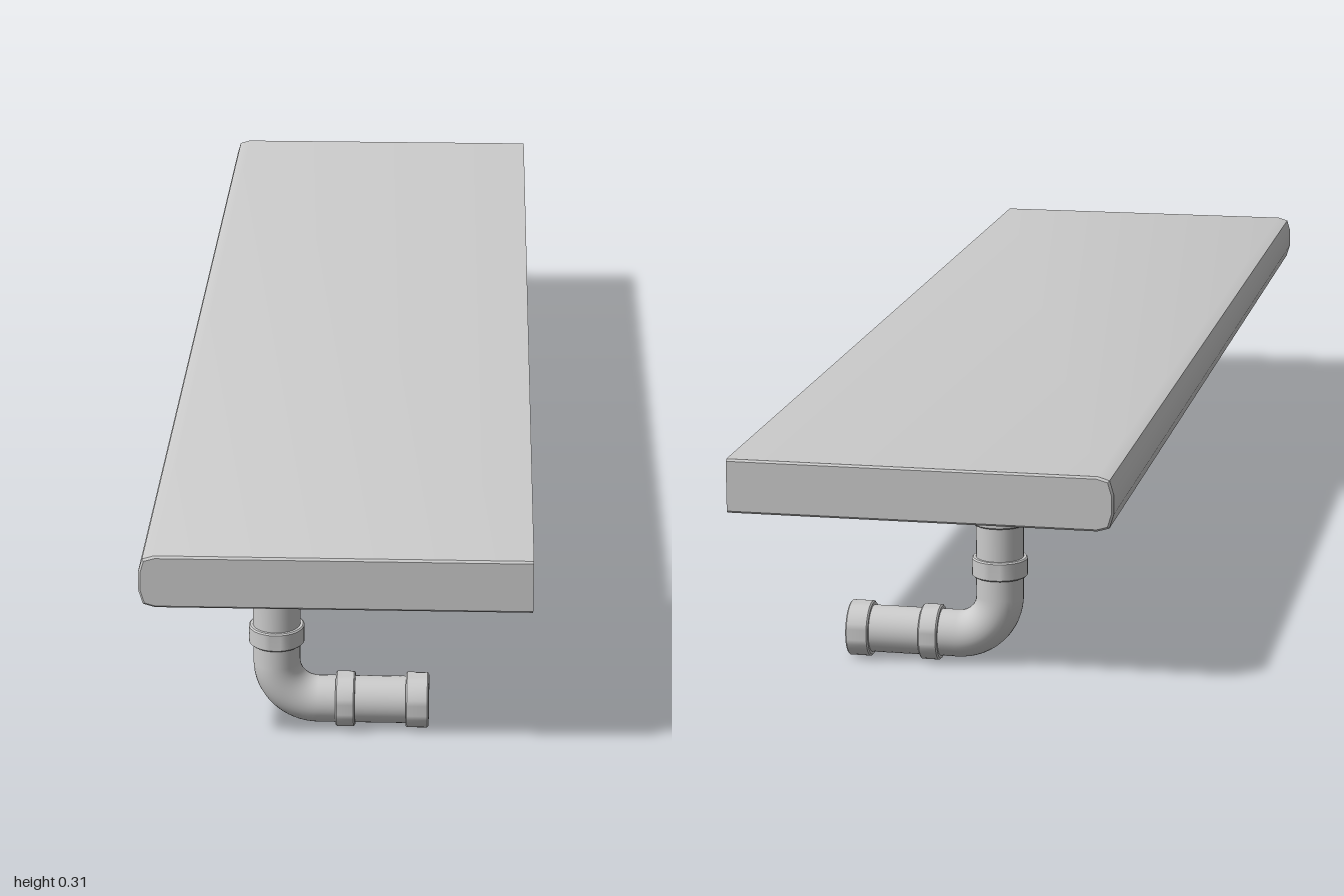
import * as THREE from 'three';
import { toCreasedNormals } from 'three/addons/utils/BufferGeometryUtils.js';

const material = new THREE.MeshStandardMaterial({ color: 0xcccccc, side: THREE.DoubleSide });
const PIPE_R = 0.034, COLLAR_R = 0.04, PIPE_X = -0.09, PIPE_Y = 0.041, BEND_R = 0.06;

function addMesh(parent, name, geometry) {
  const mesh = new THREE.Mesh(geometry, material);
  mesh.name = name;
  parent.add(mesh);
  return mesh;
}

// Hollow slab: rounded long edge at -x, left open along +x
function slabGeometry() {
  const bevel = 0.003, wall = 0.275;
  const profile = [
    [wall, 0.237], [-0.252, 0.237], [-0.269, 0.242], [-0.275, 0.262],
    [-0.275, 0.29], [-0.269, 0.31], [-0.252, 0.315], [wall, 0.315],
  ].map(([x, y]) => new THREE.Vector2(x, y));
  const geometry = new THREE.ExtrudeGeometry(new THREE.Shape(profile), {
    depth: 2 - 2 * bevel, bevelEnabled: true, bevelThickness: bevel,
    bevelSize: bevel, bevelOffset: -bevel, bevelSegments: 1,
  }).translate(0, 0, -1 + bevel);

  // Flatten the +x edge, then drop the faces that would close it
  const source = geometry.getAttribute('position');
  const kept = [];
  for (let i = 0; i < source.count; i += 3) {
    const corners = [0, 1, 2].map((k) => {
      const x = source.getX(i + k);
      return [x > 0.26 ? wall : x, source.getY(i + k), source.getZ(i + k)];
    });
    if (corners.some((c) => c[0] < wall)) kept.push(...corners.flat());
  }
  const open = new THREE.BufferGeometry();
  open.setAttribute('position', new THREE.Float32BufferAttribute(kept, 3));
  open.computeVertexNormals();
  return toCreasedNormals(open, 0.5);
}

// Ring with softened outer edges, standing on its own y axis
function collarGeometry(length) {
  const h = length / 2, e = 0.002;
  const points = [
    [PIPE_R, -h], [COLLAR_R - e, -h], [COLLAR_R, -h + e],
    [COLLAR_R, h - e], [COLLAR_R - e, h], [PIPE_R, h], [PIPE_R, -h],
  ].map(([r, y]) => new THREE.Vector2(r, y));
  return toCreasedNormals(new THREE.LatheGeometry(points, 32), 0.6);
}

function createBracket(z) {
  const bracket = new THREE.Group();
  bracket.name = 'pipeBracket';
  bracket.position.z = z;

  // Straight runs and the elbow between them
  const bendX = PIPE_X + BEND_R, bendY = PIPE_Y + BEND_R;
  const tube = (top, bottom) =>
    new THREE.CylinderGeometry(PIPE_R, PIPE_R, top - bottom, 32, 1, true)
      .translate(0, (top + bottom) / 2, 0);
  addMesh(bracket, 'uprightPipe', tube(0.25, bendY)).position.x = PIPE_X;
  const level = addMesh(bracket, 'levelPipe', tube(0.125, bendX));
  level.rotation.z = -Math.PI / 2;
  level.position.y = PIPE_Y;
  const elbow = addMesh(bracket, 'elbow',
    new THREE.TorusGeometry(BEND_R, PIPE_R, 32, 16, Math.PI / 2));
  elbow.rotation.z = Math.PI;
  elbow.position.set(bendX, bendY, 0);

  // Collars on the upright, then on the level run
  for (const [from, to] of [[0.208, 0.252], [0.131, 0.159]]) {
    addMesh(bracket, 'uprightCollar', collarGeometry(to - from))
      .position.set(PIPE_X, (from + to) / 2, 0);
  }
  for (const [from, to] of [[-0.005, 0.023], [0.096, 0.129]]) {
    const collar = addMesh(bracket, 'levelCollar', collarGeometry(to - from));
    collar.rotation.z = -Math.PI / 2;
    collar.position.set((from + to) / 2, PIPE_Y, 0);
  }
  return bracket;
}

export function createModel() {
  const model = new THREE.Group();
  model.name = 'pipeShelf';
  addMesh(model, 'shelfBoard', slabGeometry());
  for (const side of [1, -1]) model.add(createBracket(side * 0.875));
  return model;
}
